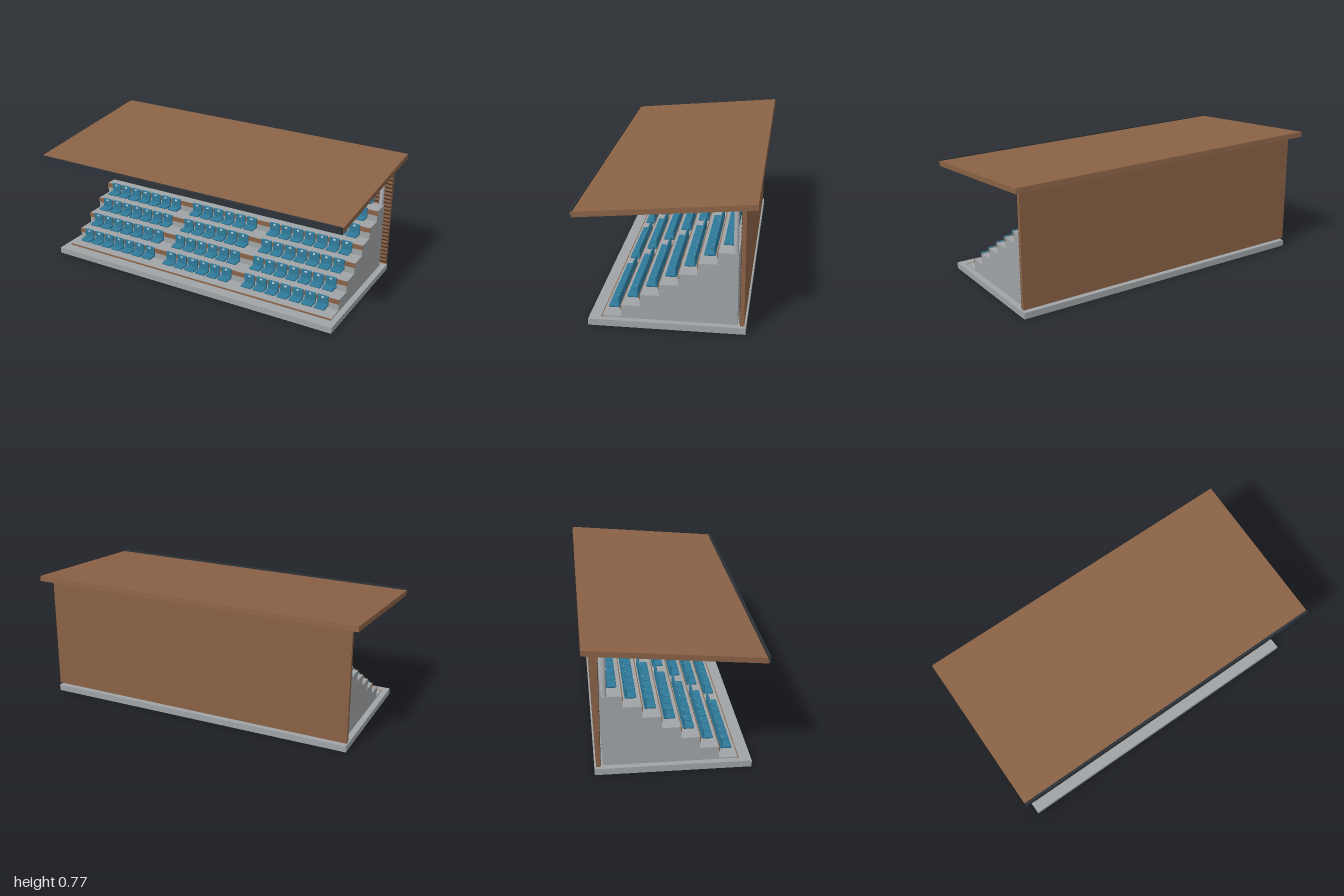
import * as THREE from 'three';
import { RoundedBoxGeometry } from 'three/addons/geometries/RoundedBoxGeometry.js';

const material = (name, color) => {
  const m = new THREE.MeshStandardMaterial({ color });
  m.name = name;
  return m;
};

export function createModel() {
  const concrete = material('concrete', 0xa0a4a6);
  const wood = material('wood', 0x8a6246);
  const dark = material('dark trim', 0x2b3238);
  const groove = material('dark groove', 0x3a2a20);
  const blue = material('seat blue', 0x2f7a9a);
  const steel = material('steel', 0xabafb3);
  const white = material('plate white', 0xd5dadd);

  const group = new THREE.Group();
  group.name = 'grandstand';
  const add = (name, geometry, mat, x, y, z, parent = group) => {
    const mesh = new THREE.Mesh(geometry, mat);
    mesh.name = name;
    mesh.position.set(x, y, z);
    parent.add(mesh);
    return mesh;
  };
  // box given by its extents in y and z, centred on x
  const slab = (name, mat, width, y0, y1, z0, z1) =>
    add(name, new THREE.BoxGeometry(width, y1 - y0, z1 - z0), mat, 0, (y0 + y1) / 2, (z0 + z1) / 2);

  const ROWS = 7, RISE = 0.068, RUN = 0.1043;
  const treadY = i => 0.045 + i * RISE;
  const noseZ = i => 0.354 - i * RUN;

  // foundation
  slab('foundation', concrete, 1.9, 0, 0.037, -0.428, 0.425);

  // stepped terrace, a profile in z and y extruded along x
  const profile = new THREE.Shape();
  profile.moveTo(-0.382, 0.036);
  profile.lineTo(noseZ(0), 0.036);
  for (let i = 0; i < ROWS; i++) {
    profile.lineTo(noseZ(i), treadY(i));
    profile.lineTo(i < ROWS - 1 ? noseZ(i + 1) : -0.382, treadY(i));
  }
  const terrace = new THREE.ExtrudeGeometry(profile, { depth: 1.83, bevelEnabled: false });
  terrace.rotateY(-Math.PI / 2);
  add('terrace', terrace, concrete, 0.915, 0, 0);

  // wooden boards on the upper half of each riser
  for (let i = 0; i < ROWS; i++) {
    slab('riserBoard', wood, 1.832, treadY(i) - 0.028, treadY(i) + 0.0005, noseZ(i) - 0.002, noseZ(i) + 0.003);
  }

  // seats: three blocks in every row
  const cushion = new RoundedBoxGeometry(0.068, 0.014, 0.063, 2, 0.006);
  const back = new RoundedBoxGeometry(0.068, 0.068, 0.011, 2, 0.005);
  const plate = new THREE.BoxGeometry(0.014, 0.01, 0.002);
  const blocks = [[-0.591, 7], [0, 6], [0.591, 7]];
  for (let i = 0; i < ROWS; i++) {
    const row = new THREE.Group();
    row.name = 'seatRow';
    row.position.set(0, treadY(i), noseZ(i));
    group.add(row);
    for (const [centre, count] of blocks) {
      for (let k = 0; k < count; k++) {
        const x = centre + (k - (count - 1) / 2) * 0.0785;
        add('seatCushion', cushion, blue, x, 0.028, -0.0575, row);
        add('seatBack', back, blue, x, 0.055, -0.0815, row);
        add('seatNumberPlate', plate, white, x, 0.078, -0.0755, row);
      }
    }
  }

  // back wall with dark horizontal grooves on its inner face
  slab('backWall', wood, 1.9, 0.05, 0.74, -0.42, -0.397);
  for (let i = 0; i < 27; i++) {
    const y = 0.066 + i * 0.0248;
    slab('wallGroove', groove, 1.9, y - 0.003, y + 0.003, -0.398, -0.394);
  }

  // columns on the top tread
  const column = new THREE.CylinderGeometry(0.0135, 0.0135, 0.275, 20);
  for (const x of [-0.9, -0.3, 0.3, 0.9]) add('column', column, steel, x, 0.5895, -0.367);

  // sloping roof with soffit panel and front fascia
  const roof = new THREE.Group();
  roof.name = 'roof';
  roof.position.set(0, 0.7065, 0);
  roof.rotation.x = 0.0913;
  group.add(roof);
  add('roofDeck', new THREE.BoxGeometry(2, 0.031, 0.966), wood, 0, 0, 0, roof);
  add('soffit', new THREE.BoxGeometry(1.9, 0.008, 0.83), wood, 0, -0.018, 0.025, roof);
  slab('fascia', dark, 2, 0.649, 0.686, 0.472, 0.487);

  return group;
}
